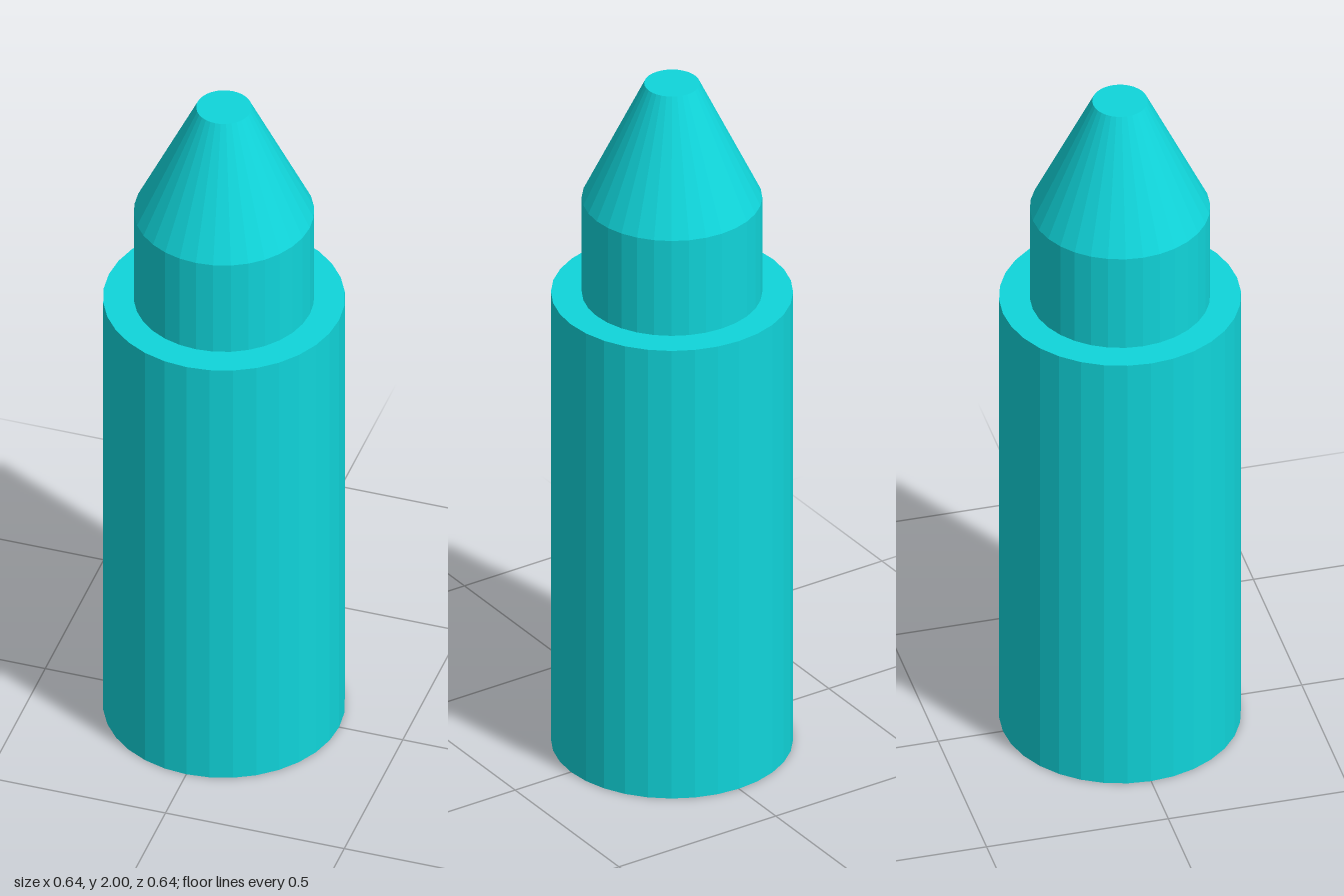
import * as THREE from 'three';

export function createModel() {
  const group = new THREE.Group();
  group.name = 'crayon';
  const material = new THREE.MeshStandardMaterial({ color: 0x10d5da, flatShading: true });

  // Stacked round section between two heights
  const section = (name, bottomRadius, topRadius, y0, y1, open = false) => {
    const geometry = new THREE.CylinderGeometry(topRadius, bottomRadius, y1 - y0, 32, 1, open);
    const mesh = new THREE.Mesh(geometry, material);
    mesh.name = name;
    mesh.position.y = (y0 + y1) / 2;
    group.add(mesh);
  };

  section('body', 0.322, 0.322, 0, 1.364);
  section('neck', 0.24, 0.24, 1.364, 1.653, true);
  section('taperedTip', 0.24, 0.074, 1.653, 2);

  return group;
}
